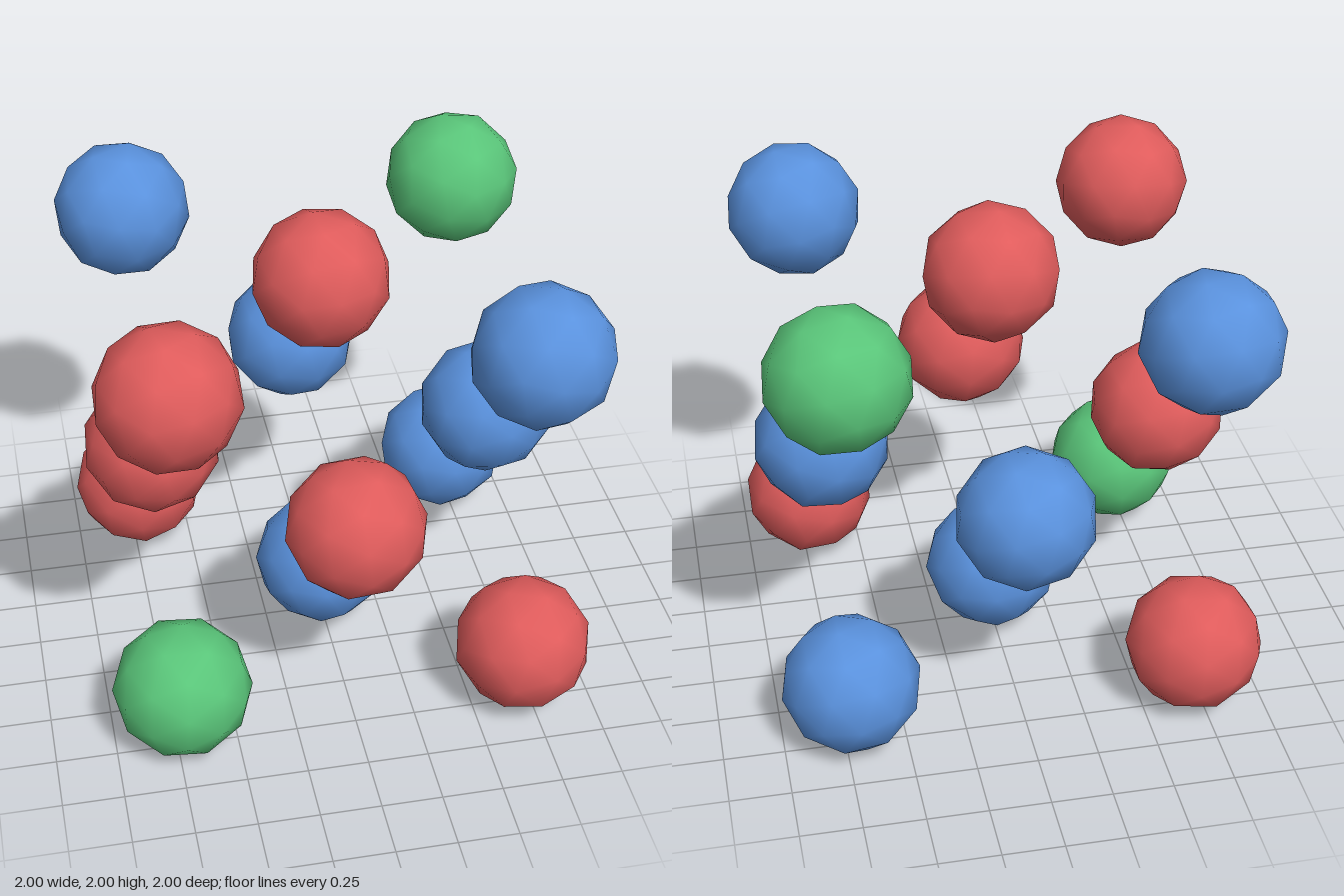
import * as THREE from 'three';

const SPACING = 0.714;
const RADIUS = 0.286;

// Ball colours: corners and face centres of a cubic lattice, as [x, y, z] steps
const BALLS = {
  red: {
    color: 0xe05c5c,
    at: [[-1, 1, 1], [1, -1, 1], [-1, -1, -1], [0, 1, 0], [-1, 0, 0], [0, 0, 1]],
  },
  blue: {
    color: 0x5a92de,
    at: [[1, 1, 1], [-1, 1, -1], [1, -1, -1], [0, -1, 0], [1, 0, 0], [0, 0, -1]],
  },
  green: {
    color: 0x5ac67a,
    at: [[1, 1, -1], [-1, -1, 1]],
  },
};

// Small seeded generator for the turn of each ball
function seeded(seed) {
  let s = seed;
  return () => (s = (s * 16807) % 2147483647) / 2147483647;
}

export function createModel() {
  const model = new THREE.Group();
  model.name = 'ballLattice';
  const random = seeded(4217);

  // Low-poly ball with smooth normals, shared by every lattice point
  const ball = new THREE.IcosahedronGeometry(RADIUS, 1);

  for (const [name, { color, at }] of Object.entries(BALLS)) {
    const material = new THREE.MeshStandardMaterial({ color });
    for (const [x, y, z] of at) {
      const mesh = new THREE.Mesh(ball, material);
      const isCorner = x * y * z !== 0;
      mesh.name = `${name}${isCorner ? 'Corner' : 'Face'}Ball`;
      mesh.position.set(x * SPACING, 1 + y * SPACING, z * SPACING);
      mesh.rotation.set(random() * 6.28, random() * 6.28, random() * 6.28);
      model.add(mesh);
    }
  }
  return model;
}
